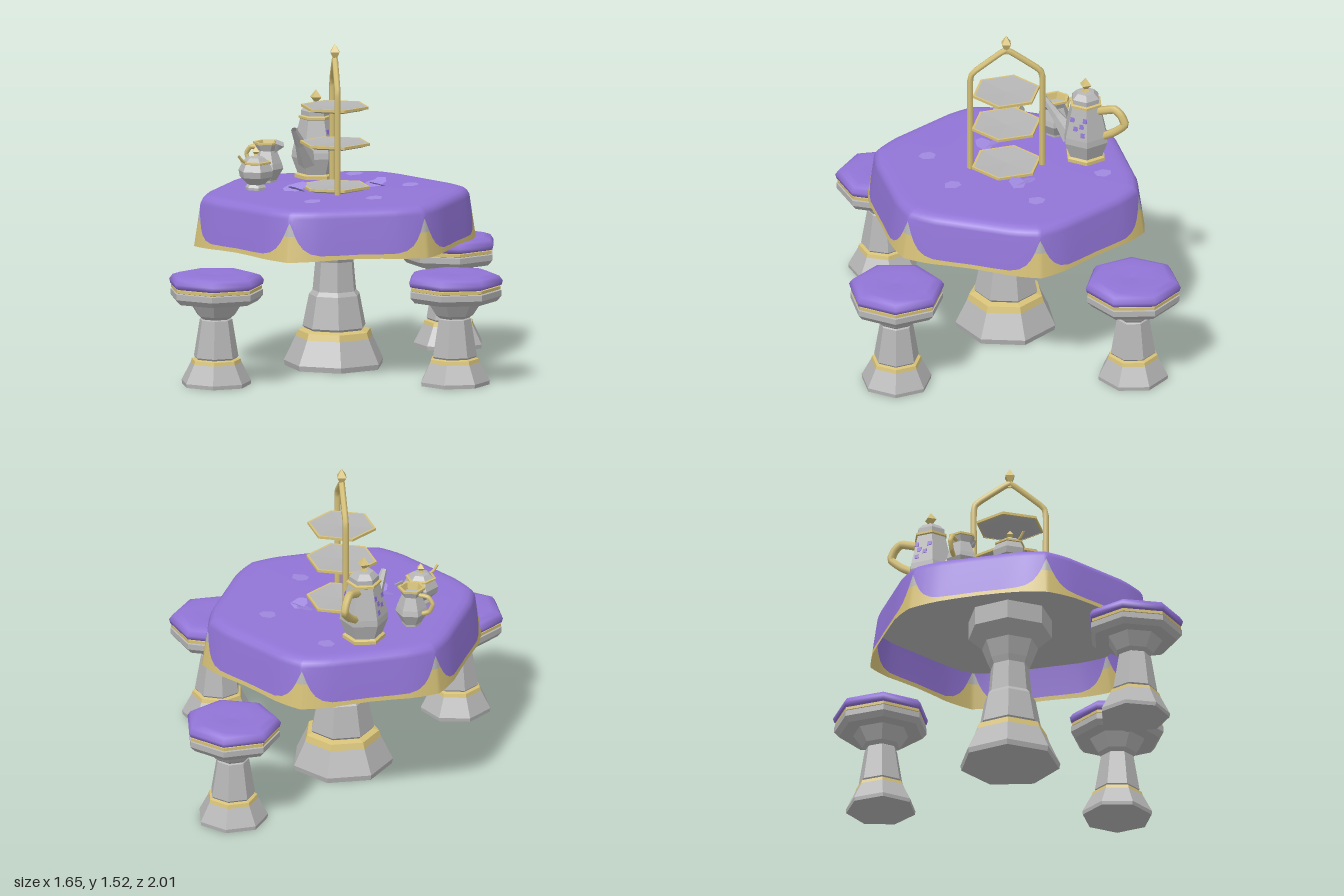
import * as THREE from 'three';

const material = (name, color) => {
  const m = new THREE.MeshStandardMaterial({ color, side: THREE.DoubleSide });
  m.name = name;
  return m;
};

export function createModel() {
  const purple = material('purple cloth', 0x9174d6);
  const lilac = material('lilac petal', 0xa08ae0);
  const gold = material('gold', 0xd6c178);
  const grey = material('pale stone', 0xb6b6b6);

  const model = new THREE.Group();
  const group = (name, parent, x = 0, y = 0, z = 0, turn = 0) => {
    const g = new THREE.Group();
    g.name = name;
    g.position.set(x, y, z);
    g.rotation.y = turn;
    parent.add(g);
    return g;
  };
  const add = (parent, name, geometry, mat) => {
    const mesh = new THREE.Mesh(geometry, mat);
    mesh.name = name;
    parent.add(mesh);
    return mesh;
  };
  // Faceted turned part from [radius, height] pairs, bottom to top
  const turned = (parent, name, profile, sides, mat, smooth = false) => {
    let g = new THREE.LatheGeometry(profile.map(([r, y]) => new THREE.Vector2(r, y)), sides);
    if (!smooth) {
      g = g.toNonIndexed();
      g.computeVertexNormals();
    }
    return add(parent, name, g, mat);
  };
  // Straight-jointed rod through [x, y, z] points
  const rod = (parent, name, points, radius, mat, sides = 6) => {
    const path = new THREE.CurvePath();
    const v = points.map(p => new THREE.Vector3(...p));
    for (let i = 1; i < v.length; i++) path.add(new THREE.LineCurve3(v[i - 1], v[i]));
    const curve = new THREE.CatmullRomCurve3(v, false, 'catmullrom', 0.25);
    return add(parent, name, new THREE.TubeGeometry(curve, v.length * 4, radius, sides), mat);
  };
  // Closed rings of points joined bottom to top
  const loft = (parent, name, rings, mat) => {
    const n = rings[0].length, index = [];
    for (let j = 0; j + 1 < rings.length; j++) {
      for (let i = 0; i < n; i++) {
        const k = (i + 1) % n;
        const height = rings[j + 1][i].distanceTo(rings[j][i]) + rings[j + 1][k].distanceTo(rings[j][k]);
        if (height < 1e-5) continue;
        const a = j * n + i, b = j * n + k;
        index.push(a, a + n, b, b, a + n, b + n);
      }
    }
    const g = new THREE.BufferGeometry().setFromPoints(rings.flat());
    g.setIndex(index);
    g.computeVertexNormals();
    return add(parent, name, g, mat);
  };

  // Table cloth: hexagon with cut corners, gold hem rising to a point at each corner
  const table = group('table', model, -0.16, 0, 0);
  const steps = [0, 1, 2.2, 4, 6, 9, 13, 20];
  const angles = [];
  for (let c = 0; c < 6; c++) {
    const right = steps.map(d => [c * 60 + 4 + d, d]);
    const left = [...steps, 30].reverse().filter(d => d > 0).map(d => [c * 60 + 64 - d, d]);
    angles.push(...right, ...left);
  }
  const rad = Math.PI / 180;
  const radius = d => d < 13 ? 0.66 - 0.032 * d / 13 : 0.601 / Math.cos((30 - d) * rad);
  const ring = (height, scale) => angles.map(([a, d]) => {
    const y = height(d);
    const s = scale ?? 1 - 0.045 * (y - 0.59) / 0.2;
    const r = radius(d) * s;
    return new THREE.Vector3(r * Math.cos(a * rad), y, 1.03 * r * Math.sin(a * rad));
  });
  const hem = d => 0.59 + 0.012 * Math.min(1, d / 25);
  const trim = d => 0.02 + 0.165 * Math.exp(-Math.pow(d * rad * 0.65 / 0.05, 1.2));
  const bottom = ring(hem);
  const goldTop = ring(d => hem(d) + Math.min(trim(d), 0.12));
  const tipTop = ring(d => hem(d) + trim(d));
  loft(table, 'goldHem', [bottom, goldTop], gold);
  loft(table, 'hemTips', [goldTop, tipTop], grey);
  loft(table, 'tableCloth', [tipTop, ring(() => 0.79), ring(() => 0.81, 0.94), ring(() => 0.824, 0.915),
    ring(() => 0.831, 0.87), ring(() => 0.832, 0.8), ring(() => 0.832, 0)], purple);
  loft(table, 'tableUnderside', [ring(() => 0.76, 0), ring(() => 0.76, 0.95)], grey);

  // Table pedestal
  const pedestal = group('pedestal', table);
  turned(pedestal, 'pedestalBase', [[0, 0], [0.235, 0], [0.24, 0.025], [0.185, 0.14]], 7, grey);
  turned(pedestal, 'pedestalBand', [[0.185, 0.14], [0.175, 0.17], [0.14, 0.18]], 7, gold);
  turned(pedestal, 'pedestalShaft', [[0.135, 0.17], [0.152, 0.19], [0.122, 0.34], [0.105, 0.36],
    [0.092, 0.5], [0.105, 0.53], [0.135, 0.61], [0.2, 0.67], [0.2, 0.76]], 7, grey);

  // Three stools
  const stools = [[-0.17, 0.785, 0.25], [0.61, -0.01, 0.05], [-0.18, -0.785, 0.55]];
  for (const [x, z, turn] of stools) {
    const s = group('stool', model, x, 0, z, turn + Math.PI);
    turned(s, 'stoolBase', [[0, 0], [0.165, 0], [0.167, 0.018], [0.122, 0.105]], 7, grey);
    turned(s, 'stoolBand', [[0.122, 0.105], [0.117, 0.122], [0.09, 0.13]], 7, gold);
    turned(s, 'stoolShaft', [[0.095, 0.12], [0.107, 0.135], [0.078, 0.31], [0.07, 0.315],
      [0.09, 0.33], [0.132, 0.395], [0.2, 0.395], [0.222, 0.42], [0.222, 0.447], [0.2, 0.452]], 7, grey);
    turned(s, 'seatBand', [[0.2, 0.447], [0.218, 0.452], [0.218, 0.466], [0.19, 0.468]], 7, gold);
    turned(s, 'cushion', [[0.19, 0.462], [0.222, 0.472], [0.228, 0.492], [0.212, 0.515],
      [0.175, 0.527], [0.09, 0.527], [0, 0.52]], 7, purple, true);
  }

  // Tiered stand with diagonal handle frame
  const stand = group('tieredStand', model, -0.16, 0, 0);
  for (const [y, r] of [[0.838, 0.165], [1.042, 0.165], [1.215, 0.16]]) {
    const tier = group('tier', stand, 0, y, 0);
    turned(tier, 'tierPlate', [[0, -0.004], [r * 0.8, -0.004], [r * 0.97, 0.006]], 6, grey);
    turned(tier, 'tierRim', [[r * 0.97, 0.004], [r * 1.02, 0.006], [r * 1.02, 0.018], [r * 0.95, 0.018]], 6, gold);
    turned(tier, 'tierTop', [[r * 0.95, 0.018], [0, 0.012]], 6, grey);
  }
  for (const s of [-1, 1]) {
    rod(stand, 'handlePost', [[s * 0.127, 0.835, s * 0.112], [s * 0.127, 1.1, s * 0.112], [s * 0.127, 1.3, s * 0.112],
      [s * 0.115, 1.34, s * 0.102], [s * 0.02, 1.435, s * 0.018], [0, 1.45, 0]], 0.015, gold);
  }
  turned(stand, 'standFinial', [[0.012, 1.43], [0.012, 1.455], [0.03, 1.485], [0, 1.525]], 4, gold);

  // Teapot, spout towards its local front
  const pot = group('teapot', model, -0.485, 0.83, -0.205, 0.28);
  turned(pot, 'potFoot', [[0, 0], [0.1, 0], [0.1, 0.018], [0.085, 0.026]], 6, gold);
  turned(pot, 'potBody', [[0.085, 0.02], [0.114, 0.1], [0.111, 0.13], [0.074, 0.282]], 6, grey);
  turned(pot, 'potRim', [[0.074, 0.28], [0.082, 0.284], [0.082, 0.294], [0.07, 0.298]], 6, gold);
  turned(pot, 'potLid', [[0.07, 0.294], [0.07, 0.32], [0.045, 0.345], [0, 0.35]], 6, grey);
  turned(pot, 'potFinial', [[0.024, 0.344], [0.012, 0.362], [0.03, 0.382], [0, 0.418]], 4, gold);
  rod(pot, 'potHandle', [[0, 0.255, -0.06], [0, 0.285, -0.15], [0, 0.262, -0.185],
    [0, 0.215, -0.205], [0, 0.165, -0.15], [0, 0.13, -0.09]], 0.02, gold);
  const spout = turned(pot, 'potSpout', [[0.05, 0], [0.026, 0.12], [0.014, 0.22]], 6, grey);
  spout.position.set(0, 0.09, 0.075);
  spout.rotation.x = 0.7;
  // Painted blossoms on both sides of the pot
  for (const side of [-1, 1]) {
    for (const [z, y] of [[-0.035, 0.23], [0.03, 0.225], [0.01, 0.185], [-0.02, 0.2], [-0.03, 0.16]]) {
      const x = 0.866 * (0.111 - 0.037 * (y - 0.13) / 0.152) + 0.003;
      const spot = add(pot, 'paintedBlossom', new THREE.BoxGeometry(0.003, 0.022, 0.02), purple);
      spot.position.set(side * x, y, z);
      spot.rotation.z = side * 0.21;
    }
  }

  // Cream jug, handle towards the right
  const jug = group('creamJug', model, -0.555, 0.832, 0.05, 0.1);
  turned(jug, 'jugBody', [[0, 0], [0.045, 0], [0.045, 0.01], [0.077, 0.065], [0.07, 0.09],
    [0.046, 0.15], [0.06, 0.182]], 6, grey);
  turned(jug, 'jugRim', [[0.06, 0.178], [0.066, 0.18], [0.066, 0.19], [0.052, 0.19], [0.044, 0.16]], 6, gold);
  turned(jug, 'jugInside', [[0.044, 0.16], [0, 0.155]], 6, grey);
  const lip = add(jug, 'jugLip', new THREE.ConeGeometry(0.03, 0.06, 4), grey);
  lip.position.set(0.06, 0.165, 0);
  lip.rotation.z = 2.6;
  rod(jug, 'jugHandle', [[-0.045, 0.16, 0], [-0.09, 0.158, 0.01], [-0.112, 0.125, 0.015],
    [-0.095, 0.085, 0.01], [-0.065, 0.07, 0]], 0.011, gold);

  // Sugar bowl with lid and spoon
  const bowl = group('sugarBowl', model, -0.437, 0.832, 0.245);
  turned(bowl, 'bowlBody', [[0, 0], [0.05, 0], [0.05, 0.012], [0.04, 0.025], [0.078, 0.06],
    [0.084, 0.09], [0.066, 0.125]], 6, grey);
  turned(bowl, 'bowlRim', [[0.066, 0.122], [0.073, 0.125], [0.073, 0.133], [0.062, 0.135]], 6, gold);
  turned(bowl, 'bowlLid', [[0.062, 0.133], [0.04, 0.152], [0, 0.16]], 6, grey);
  turned(bowl, 'bowlFinial', [[0.014, 0.155], [0.01, 0.168], [0.022, 0.18], [0, 0.203]], 4, gold);
  rod(bowl, 'spoon', [[0, 0.125, 0.04], [-0.01, 0.14, 0.075], [-0.015, 0.165, 0.1]], 0.007, gold, 5);

  // Petals scattered on the cloth, two small heaps by the stand
  const petalShape = new THREE.Shape();
  petalShape.moveTo(0, -0.048);
  petalShape.bezierCurveTo(0.06, -0.03, 0.05, 0.045, 0, 0.04);
  petalShape.bezierCurveTo(-0.05, 0.045, -0.06, -0.03, 0, -0.048);
  const petalGeometry = new THREE.ShapeGeometry(petalShape, 3);
  petalGeometry.rotateX(-Math.PI / 2);
  const petals = [[-0.41, -0.385, 0.4, 0], [0, -0.34, 0, 0], [0.15, 0.055, 1.5, 0], [0.02, 0.335, 3, 0],
    [-0.1, -0.19, 0.5, 0.3], [-0.05, -0.17, 2, -0.35], [-0.07, -0.2, 4, 0.5],
    [-0.27, 0.18, 1, 0.35], [-0.22, 0.2, 2.6, -0.4], [-0.24, 0.16, 4.4, 0.5]];
  for (const [x, z, turn, tilt] of petals) {
    const petal = add(model, 'petal', petalGeometry, lilac);
    petal.position.set(x, 0.838 + Math.abs(tilt) * 0.04, z);
    petal.rotation.set(tilt || 0.08, turn, 0);
  }
  return model;
}
